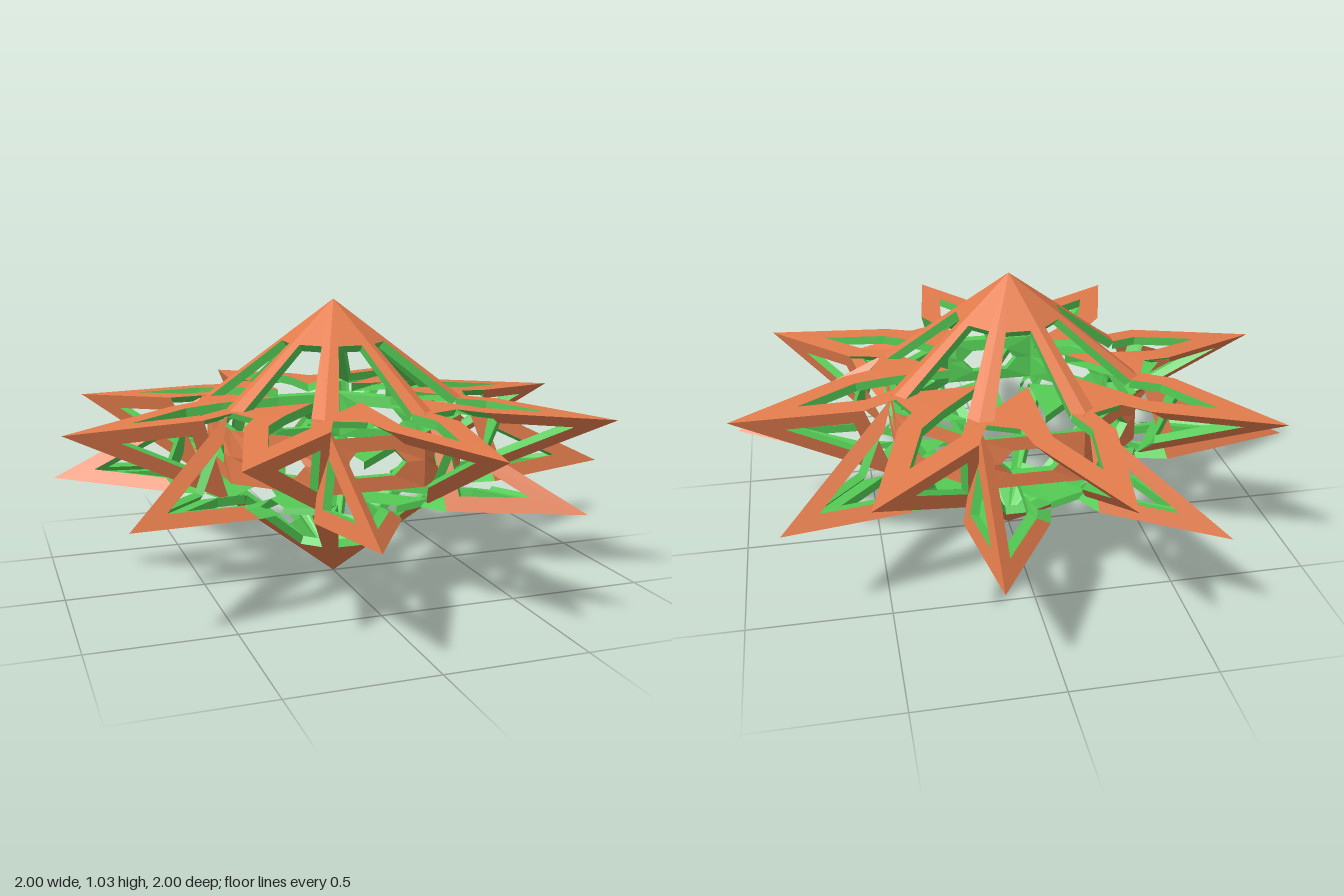
import * as THREE from 'three';

const HEIGHT = 1.03;
const THICK = 0.032;
const orange = new THREE.MeshStandardMaterial({ color: 0xe37c4c, flatShading: true });
const green = new THREE.MeshStandardMaterial({ color: 0x55cc55, flatShading: true, side: THREE.DoubleSide });

// Point from an angle in degrees around y, a radius and a height
function pt(deg, r, y) {
  const a = THREE.MathUtils.degToRad(deg);
  return new THREE.Vector3(r * Math.cos(a), y, r * Math.sin(a));
}

function meshFromQuads(quads, material, name) {
  const points = quads.flatMap(([a, b, c, d]) => [a, b, c, a, c, d]);
  const geometry = new THREE.BufferGeometry().setFromPoints(points);
  geometry.computeVertexNormals();
  const mesh = new THREE.Mesh(geometry, material);
  mesh.name = name;
  return mesh;
}

// Thick strip between an outer edge and the edge of a window. The lining is set
// back along the normal at the window and drawn toward the core at the outer edge,
// so that neighbouring strips meet in a clean corner.
function panel(name, outer, inner, core, shrink, closed) {
  const n = outer.length;
  const count = closed ? n : n - 1;
  const normal = new THREE.Vector3();
  const middle = new THREE.Vector3();
  const strip = (rowA, rowB) => Array.from({ length: count }, (_, i) => {
    const j = (i + 1) % n;
    return [rowA[i], rowA[j], rowB[j], rowB[i]];
  });
  let face = strip(outer, inner);
  for (const [a, b, c, d] of face) {
    normal.add(c.clone().sub(a).cross(d.clone().sub(b)));
    middle.addScaledVector(a, 1 / count);
  }
  normal.normalize();
  if (normal.dot(middle.sub(core)) < 0) {
    normal.negate();
    face = face.map((q) => [...q].reverse());
  }
  const outerBack = outer.map((p) => p.clone().lerp(core, shrink));
  const innerBack = inner.map((p) => p.clone().addScaledVector(normal, -THICK));
  const lining = [
    ...strip(outerBack, innerBack), ...strip(inner, innerBack), ...strip(outer, outerBack),
  ];
  const group = new THREE.Group();
  group.name = name;
  group.add(meshFromQuads(face, orange, name + 'Face'), meshFromQuads(lining, green, name + 'Lining'));
  return group;
}

// Corners of a convex polygon moved inward by w
function inset(loop, w) {
  return loop.map((p, i) => {
    const a = loop.at(i - 1).clone().sub(p).normalize();
    const b = loop[(i + 1) % loop.length].clone().sub(p).normalize();
    const s = w / a.clone().cross(b).length();
    return p.clone().addScaledVector(a.add(b), s);
  });
}

// One eighth of the upper half
function sector() {
  const group = new THREE.Group();
  const centre = new THREE.Vector3(0, HEIGHT / 2, 0);

  // Pyramid facet with a window, leaving half an arm at each side
  const pole = new THREE.Vector3(0, HEIGHT, 0);
  const armA = pt(22.5, 0.47, 0.675);
  const armB = pt(67.5, 0.47, 0.675);
  const across = armB.clone().sub(armA).normalize();
  const windowPoint = (arm, s, d) => pole.clone().lerp(arm, s).addScaledVector(across, d);
  group.add(panel('capFacet',
    [armA, pole, pole, armB],
    [windowPoint(armA, 1, 0.05), windowPoint(armA, 0.42, 0.032),
      windowPoint(armB, 0.42, -0.032), windowPoint(armB, 1, -0.05)],
    centre, 0.06, false));

  // Flat top of the ray: a V with two legs
  const tip = pt(33.75, 1.02, 0.633);
  const near = pt(19.8, 0.6, 0.665);
  const far = pt(47.7, 0.6, 0.665);
  const core = pt(33, 0.66, 0.57);
  const legEnd = [pt(51, 0.5, 0.673), pt(41, 0.43, 0.678)];
  group.add(panel('rayTop',
    [pt(19, 0.45, 0.677), near, tip, far, legEnd[0]],
    [pt(28, 0.45, 0.677), pt(26.5, 0.56, 0.668), pt(33.75, 0.78, 0.651),
      pt(41, 0.56, 0.668), legEnd[1]],
    core, 0.3, false));

  // Plate that swings from the far leg in beneath the next cap arm
  group.add(panel('innerPlate',
    [legEnd[0], pt(70, 0.48, 0.675)], [legEnd[1], pt(38, 0.22, 0.685)],
    pt(55, 0.4, 0.4), 0.08, false));

  // Two framed flanks meeting in the ridge below the ray; the far one is open inside
  const foot = pt(22.5, 0.48, 0.36);
  const nearLoop = [tip, near, foot];
  group.add(panel('nearFlank', nearLoop, inset(nearLoop, 0.052), core, 0.3, true));
  const farLoop = [far, tip, foot];
  group.add(panel('farFlank', farLoop, inset(farLoop, 0.052), core, 0.3, false));
  return group;
}

// Upright frame with a six-sided window, standing between two feet
function ringFrame() {
  const low = 0.42, high = HEIGHT - low, mid = HEIGHT / 2;
  const outer = [
    pt(22.5, 0.47, low), pt(67.5, 0.47, low), pt(67.5, 0.47, mid),
    pt(67.5, 0.47, high), pt(22.5, 0.47, high), pt(22.5, 0.47, mid),
  ];
  const inner = [
    pt(36, 0.44, 0.47), pt(54, 0.44, 0.47), pt(59, 0.455, mid),
    pt(54, 0.44, 0.56), pt(36, 0.44, 0.56), pt(31, 0.455, mid),
  ];
  return panel('ringFrame', outer, inner, new THREE.Vector3(0, mid, 0), 0.06, true);
}

// Eight copies of a part around the vertical axis
function ring(name, makePart) {
  const group = new THREE.Group();
  group.name = name;
  for (let k = 0; k < 8; k++) {
    const part = new THREE.Group();
    part.name = name + 'Sector';
    part.rotation.y = k * Math.PI / 4;
    part.add(makePart());
    group.add(part);
  }
  return group;
}

export function createModel() {
  const model = new THREE.Group();
  model.name = 'starSculpture';

  // The lower half is the upper one given a half turn about the front axis
  const lower = ring('lowerHalf', sector);
  lower.rotation.z = Math.PI;
  lower.position.y = HEIGHT;
  model.add(ring('upperHalf', sector), lower, ring('innerRing', ringFrame));
  return model;
}
